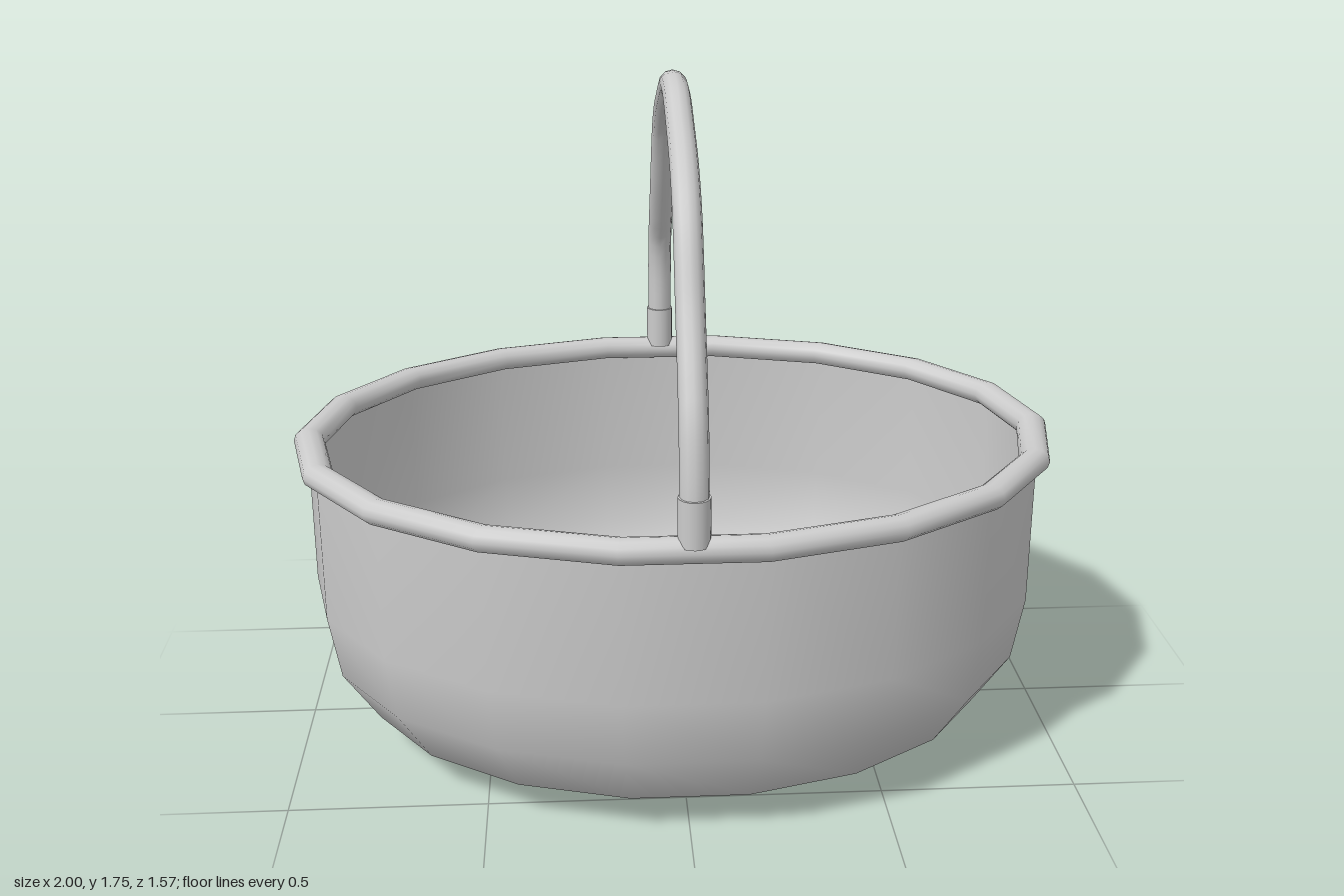
import * as THREE from 'three';

const SIDES = 18;   // facets around the oval
const OVAL = 0.79;  // depth / width of the oval

export function createModel() {
  const group = new THREE.Group();
  const solid = new THREE.MeshStandardMaterial({ color: 0xcccccc });
  const thin = new THREE.MeshStandardMaterial({ color: 0xcccccc, side: THREE.DoubleSide });

  function add(name, geometry, material = solid) {
    const mesh = new THREE.Mesh(geometry, material);
    mesh.name = name;
    group.add(mesh);
    return mesh;
  }

  // Oval bowl wall, open at the top
  const profile = [[0.45, 0], [0.67, 0.03], [0.84, 0.1], [0.935, 0.24], [0.965, 0.41], [0.965, 0.8]]
    .map(([r, y]) => new THREE.Vector2(r, y));
  const wall = new THREE.LatheGeometry(profile, SIDES, Math.PI / 2);
  wall.scale(1, 1, OVAL);
  add('basketWall', wall, thin);

  // Flat floor
  const floor = new THREE.CircleGeometry(0.45, SIDES);
  floor.rotateX(Math.PI / 2);
  floor.scale(1, 1, OVAL);
  add('basketFloor', floor, thin);

  // Rounded rim
  const rim = new THREE.TorusGeometry(0.96, 0.04, 12, SIDES);
  rim.rotateX(Math.PI / 2);
  rim.scale(1, 0.82, OVAL);
  rim.translate(0, 0.802, 0);
  add('rim', rim);

  // Arched handle from front to back, slightly uneven at the shoulders
  const path = [
    [0.745, 0.82], [0.744, 0.935], [0.716, 1.08], [0.679, 1.165], [0.593, 1.32], [0.507, 1.478],
    [0.447, 1.545], [0.353, 1.61], [0.23, 1.662], [0.116, 1.705], [0.04, 1.717], [-0.04, 1.717],
    [-0.116, 1.705], [-0.23, 1.662], [-0.353, 1.61], [-0.447, 1.545], [-0.507, 1.475],
    [-0.59, 1.35], [-0.668, 1.235], [-0.718, 1.158], [-0.74, 1.075], [-0.747, 0.935], [-0.747, 0.82],
  ].map(([z, y]) => new THREE.Vector3(0, y, z));
  const arch = new THREE.CatmullRomCurve3(path, false, 'centripetal');
  add('handle', new THREE.TubeGeometry(arch, 64, 0.034, 12));

  // Sleeves joining the handle to the rim
  for (const side of [1, -1]) {
    const sleeve = add(side > 0 ? 'frontSleeve' : 'backSleeve',
      new THREE.CylinderGeometry(0.038, 0.038, 0.115, 16));
    sleeve.position.set(0, 0.872, side * 0.746);
  }

  return group;
}
